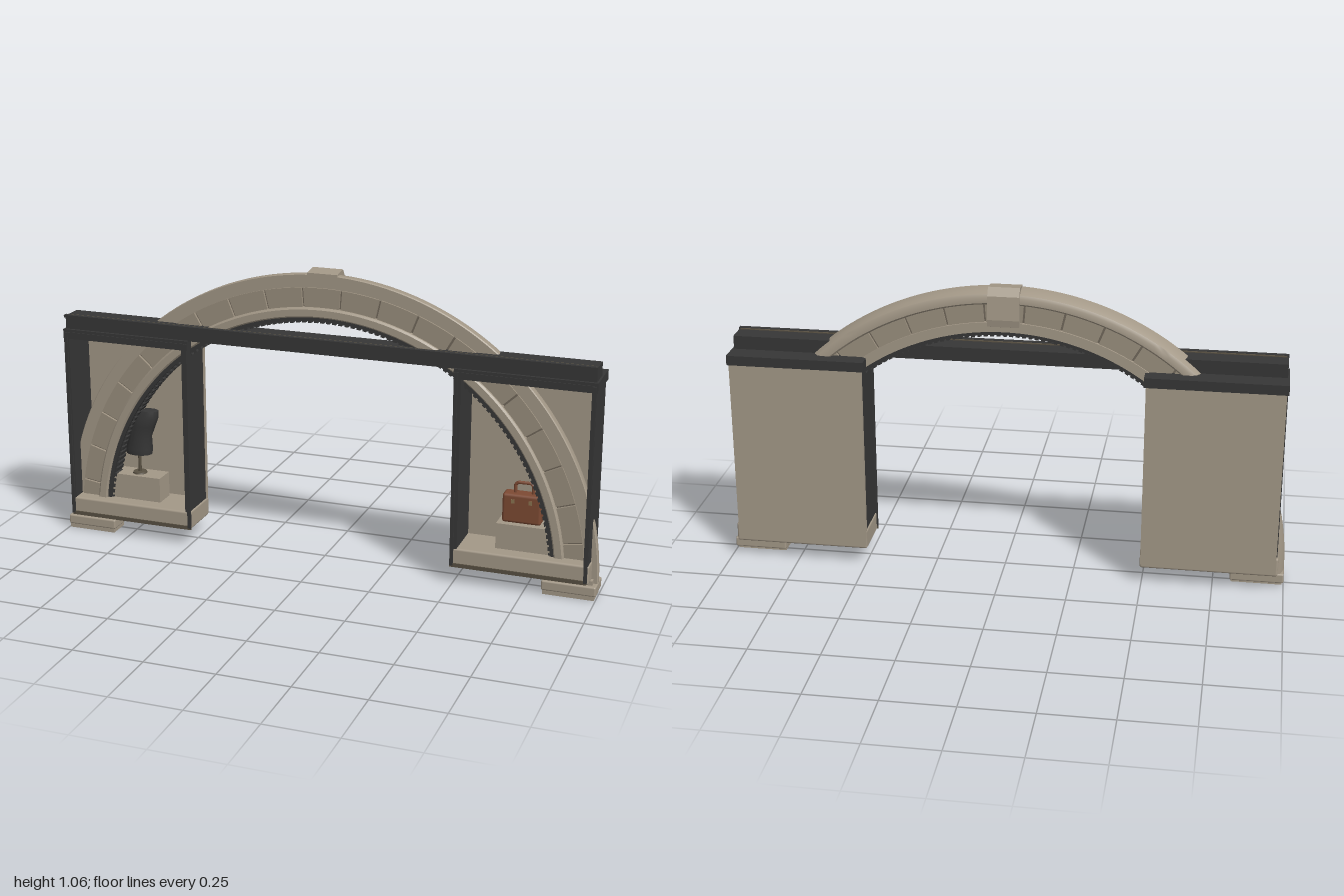
import * as THREE from 'three';
import { toCreasedNormals } from 'three/addons/utils/BufferGeometryUtils.js';
import { RoundedBoxGeometry } from 'three/addons/geometries/RoundedBoxGeometry.js';

const paint = (name, color) => {
  const m = new THREE.MeshStandardMaterial({ color });
  m.name = name;
  return m;
};

export function createModel() {
  const stone = paint('stone', 0xa39887);
  const block = paint('archBlock', 0x9a8f7e);
  const joint = paint('joint', 0x70675a);
  const dark = paint('charcoal', 0x363636);
  const bronze = paint('bronze', 0x585042);
  const leather = paint('leather', 0x7d4a33);
  const brass = paint('brass', 0x8a7350);

  const root = new THREE.Group();
  root.name = 'archedDisplay';
  const CY = 0.05; // centre height of the arch

  const add = (parent, name, geo, mat) => {
    const m = new THREE.Mesh(geo, mat);
    m.name = name;
    parent.add(m);
    return m;
  };
  // box from its limits, optionally rounded
  const box = (parent, name, mat, x0, x1, y0, y1, z0, z1, r = 0) => {
    const w = x1 - x0, h = y1 - y0, d = z1 - z0;
    const geo = r ? new RoundedBoxGeometry(w, h, d, 2, r) : new THREE.BoxGeometry(w, h, d);
    const m = add(parent, name, geo, mat);
    m.position.set((x0 + x1) / 2, (y0 + y1) / 2, (z0 + z1) / 2);
    return m;
  };
  // half ring swept from a closed (radius, z) profile; outer side runs back to front
  const halfRing = (parent, name, mat, profile, trim = 0) => {
    const pts = [...profile, profile[0]].map(p => new THREE.Vector2(p[0], p[1]));
    const geo = new THREE.LatheGeometry(pts, 96, Math.PI / 2 + trim, Math.PI - 2 * trim);
    geo.rotateX(Math.PI / 2);
    const m = add(parent, name, toCreasedNormals(geo, 0.5), mat);
    m.position.y = CY;
    return m;
  };
  const ringRect = (r0, r1, z0, z1) => [[r1, z0], [r1, z1], [r0, z1], [r0, z0]];

  // Arch
  const arch = new THREE.Group();
  arch.name = 'arch';
  root.add(arch);
  halfRing(arch, 'archRim', stone, [[0.975, -0.04], [0.986, -0.034], [0.994, -0.018],
    [0.999, 0.005], [1.0, 0.026], [0.997, 0.03], [0.95, 0.03], [0.95, -0.034], [0.956, -0.04]]);
  halfRing(arch, 'archCore', joint, ringRect(0.87, 0.952, -0.02, 0.026));
  halfRing(arch, 'innerMoulding', stone, [[0.885, -0.034], [0.885, 0.044], [0.879, 0.05],
    [0.855, 0.05], [0.85, 0.045], [0.85, -0.034]]);
  halfRing(arch, 'lightStrip', dark, ringRect(0.836, 0.852, -0.025, 0.04), 0.09);

  // Wedge blocks with narrow joints between them
  const count = 21, step = Math.PI / count;
  for (let i = 0; i < count; i++) {
    const a0 = i * step + 0.004, a1 = (i + 1) * step - 0.004;
    const s = new THREE.Shape();
    s.absarc(0, 0, 0.953, a0, a1, false);
    s.absarc(0, 0, 0.882, a1, a0, true);
    const geo = new THREE.ExtrudeGeometry(s, { depth: 0.064, bevelEnabled: false, curveSegments: 5 });
    add(arch, 'wedgeBlock', geo, block).position.set(0, CY, -0.028);
  }

  // Small teeth along the light strip
  const tooth = new THREE.BoxGeometry(0.012, 0.013, 0.05);
  for (let i = 0; i <= 110; i++) {
    const a = 0.1 + (Math.PI - 0.2) * i / 110;
    const m = add(arch, 'lightTooth', tooth, dark);
    m.position.set(0.834 * Math.cos(a), CY + 0.834 * Math.sin(a), 0.008);
    m.rotation.z = a;
  }

  // Keystone: side profile in (z, y) extruded across x
  const ks = new THREE.Shape([[0.03, 1.035], [0.03, 1.053], [-0.03, 1.06], [-0.05, 1.032],
    [-0.058, 0.95], [-0.054, 0.925], [-0.04, 0.92], [-0.015, 0.935], [-0.015, 1.03]]
    .map(p => new THREE.Vector2(-p[0], p[1])));
  const ksGeo = new THREE.ExtrudeGeometry(ks, { depth: 0.11, bevelEnabled: false });
  ksGeo.translate(0, 0, -0.055).rotateY(Math.PI / 2);
  add(arch, 'keystone', ksGeo, stone);

  // Beam across both cabinets
  box(root, 'beam', dark, -0.97, 0.97, 0.778, 0.828, -0.012, 0.073);
  box(root, 'beamLip', dark, -0.972, 0.972, 0.824, 0.833, 0.066, 0.083);
  box(root, 'beamTrim', bronze, -0.965, 0.965, 0.8285, 0.8315, 0.058, 0.066);

  // Cabinets and feet, mirrored
  for (const s of [-1, 1]) {
    const cab = new THREE.Group();
    cab.name = s > 0 ? 'leftCabinet' : 'rightCabinet';
    root.add(cab);
    const b = (name, mat, x0, x1, ...rest) =>
      box(cab, name, mat, Math.min(s * x0, s * x1), Math.max(s * x0, s * x1), ...rest);
    b('cabinetBase', stone, 0.493, 0.977, 0.062, 0.132, -0.087, 0.083, 0.008);
    b('backPanel', stone, 0.495, 0.97, 0.075, 0.75, -0.087, -0.07);
    b('cabinetRoof', dark, 0.488, 0.977, 0.745, 0.78, -0.088, 0.083);
    for (const [x0, x1] of [[0.497, 0.513], [0.957, 0.973]]) {
      b('sideWall', dark, x0, x1, 0.13, 0.746, -0.071, 0.081);
    }
    for (const x of [0.496, 0.966]) {
      b('frontPost', dark, x - 0.006, x + 0.006, 0.07, 0.768, 0.08, 0.089);
    }
    b('frontRail', bronze, 0.49, 0.97, 0.064, 0.078, 0.08, 0.087);
    b('frontHeader', dark, 0.49, 0.97, 0.756, 0.77, 0.08, 0.086);
    b('footSlab', stone, 0.81, 1.0, 0.014, 0.05, -0.04, 0.065, 0.006);
    b('footPlinth', stone, 0.815, 0.995, 0, 0.016, -0.02, 0.063);
    b('footNeck', stone, 0.84, 0.985, 0.046, 0.066, -0.03, 0.05);
    b('pedestal', stone, 0.637, 0.83, 0.13, 0.225, -0.052, 0.03);
  }

  // Dress form: leaning torso on a pole
  const form = new THREE.Group();
  form.name = 'dressForm';
  form.position.set(-0.735, 0.225, -0.012);
  root.add(form);
  add(form, 'pole', new THREE.CylinderGeometry(0.006, 0.006, 0.09, 12), bronze).position.y = 0.045;
  add(form, 'poleFoot', new THREE.CylinderGeometry(0.025, 0.027, 0.006, 20), bronze).position.y = 0.003;
  const torsoPts = [[0, 0], [0.05, 0], [0.052, 0.02], [0.043, 0.07], [0.047, 0.11],
    [0.046, 0.145], [0.034, 0.17], [0, 0.174]].map(p => new THREE.Vector2(p[0], p[1]));
  const torsoGeo = new THREE.LatheGeometry(torsoPts, 28);
  torsoGeo.scale(1, 1, 0.7);
  const tp = torsoGeo.attributes.position;
  for (let i = 0; i < tp.count; i++) {
    const y = tp.getY(i);
    tp.setX(i, tp.getX(i) + 1.6 * y * y); // lean grows with height
  }
  add(form, 'torso', toCreasedNormals(torsoGeo, 0.7), dark).position.y = 0.078;

  // Suitcase
  const bag = new THREE.Group();
  bag.name = 'suitcase';
  root.add(bag);
  box(bag, 'caseBody', leather, 0.652, 0.79, 0.226, 0.332, -0.04, 0.015, 0.01);
  for (const x of [0.69, 0.752]) {
    box(bag, 'clasp', brass, x - 0.006, x + 0.006, 0.3, 0.314, 0.014, 0.018);
  }
  const grip = new THREE.CurvePath();
  const gp = [[0.692, 0.328], [0.692, 0.36], [0.702, 0.369], [0.745, 0.369], [0.755, 0.36], [0.755, 0.328]]
    .map(p => new THREE.Vector3(p[0], p[1], -0.012));
  for (let i = 0; i < gp.length - 1; i++) grip.add(new THREE.LineCurve3(gp[i], gp[i + 1]));
  add(bag, 'handle', new THREE.TubeGeometry(grip, 30, 0.006, 8), leather);

  return root;
}
